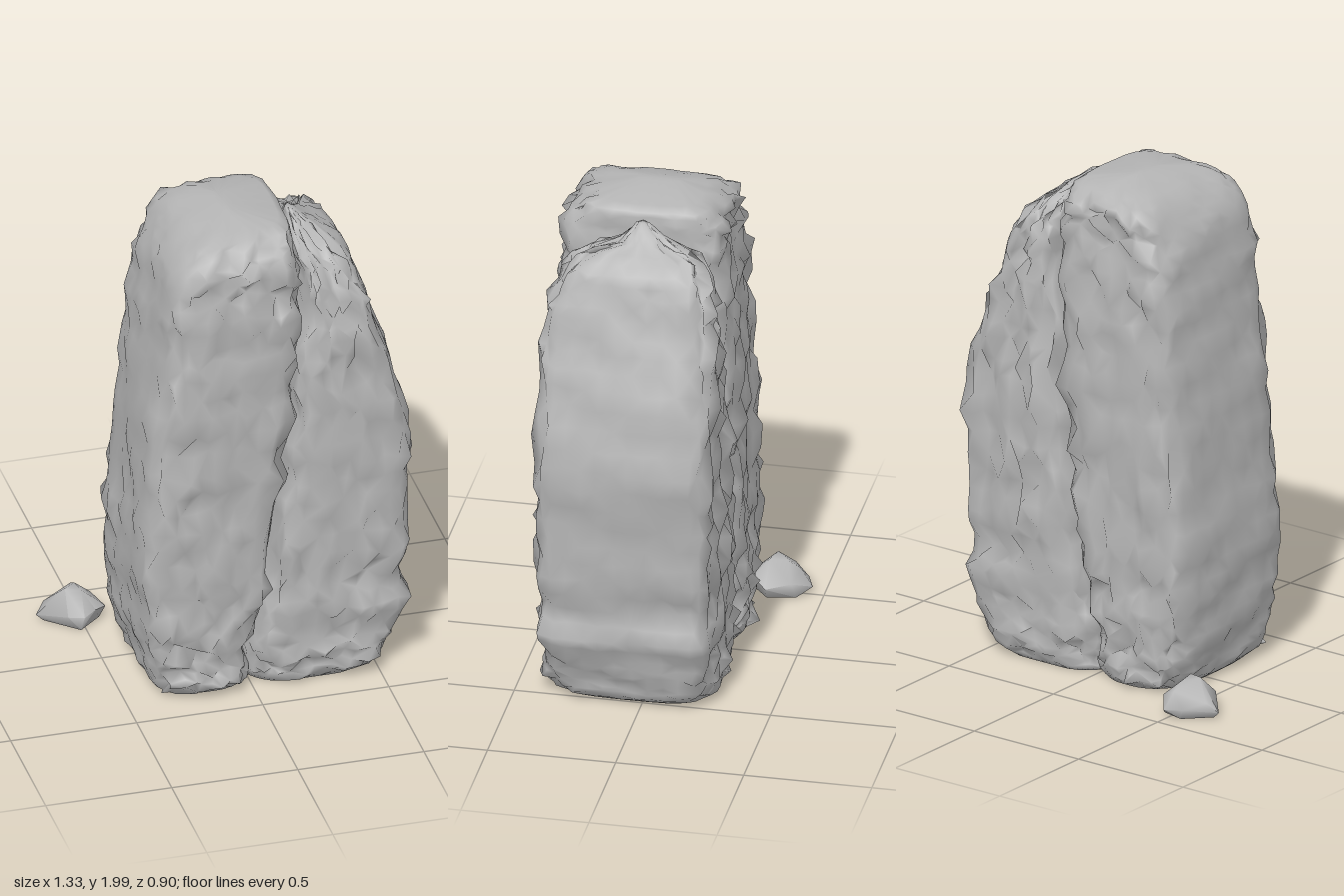
import * as THREE from 'three';
import { mergeVertices, toCreasedNormals } from 'three/addons/utils/BufferGeometryUtils.js';
import { ConvexGeometry } from 'three/addons/geometries/ConvexGeometry.js';

// Seeded random in -1..1
function seeded(seed) {
  let s = seed;
  return () => {
    s = (s * 1664525 + 1013904223) >>> 0;
    return s / 2147483648 - 1;
  };
}

// Interpolate rows of [y, xMin, xMax, zMin, zMax]
function sample(rows, y) {
  let i = 1;
  while (i < rows.length - 1 && rows[i][0] < y) i++;
  const a = rows[i - 1], b = rows[i];
  const t = THREE.MathUtils.clamp((y - a[0]) / (b[0] - a[0]), 0, 1);
  return a.map((v, k) => v + (b[k] - v) * t);
}

// Point and outward direction on a rounded rectangle, u in 0..4 from the +x side toward +z
function roundedRect(u, hx, hz, r) {
  const side = Math.floor(u) % 4, t = (u % 1) * 2 - 1;
  const [px, pz] = [[1, t], [-t, 1], [-1, -t], [t, -1]][side];
  const x = px * hx, z = pz * hz;
  const ix = THREE.MathUtils.clamp(x, -(hx - r), hx - r);
  const iz = THREE.MathUtils.clamp(z, -(hz - r), hz - r);
  const d = Math.hypot(x - ix, z - iz) || 1;
  const nx = (x - ix) / d, nz = (z - iz) / d;
  return { x: ix + nx * r, z: iz + nz * r, nx, nz };
}

// Rough upright slab: stacked cross-sections, craggy front and back, softer flanks
function slabGeometry(rows, seed) {
  const rand = seeded(seed), count = 44, levels = 38;
  const y0 = rows[0][0], y1 = rows[rows.length - 1][0];
  const pos = [], index = [];
  for (let j = 0; j <= levels; j++) {
    // Levels crowd toward the top and base, where the outline turns quickly
    const t = j / levels;
    const y = y0 + (y1 - y0) * (t - 0.1 * Math.sin(2 * Math.PI * t));
    const [, xa, xb, za, zb] = sample(rows, y);
    const hx = (xb - xa) / 2, hz = (zb - za) / 2;
    const corner = 0.075 + 0.08 * Math.max(0, 1 - y / 0.2);
    const r = Math.min(corner, hx * 0.8, hz * 0.8);
    const rough = j === 0 || j === levels ? 0 : Math.min(1, (levels - j) / 5, j / 2);
    for (let i = 0; i < count; i++) {
      const p = roundedRect((i / count) * 4, hx, hz, r);
      const crag = Math.abs(p.nz);
      const wave = Math.sin(y * 17 + p.x * 23 + seed) * Math.sin(p.x * 19 - y * 11 + p.z * 9);
      const bow = 0.018 * Math.abs(p.nx) * (p.z / hz) ** 2;
      const out = rough * (rand() ** 3 * (0.012 + 0.026 * crag) + wave * 0.012) - bow;
      const slide = rough * rand() * (0.008 + 0.012 * crag);
      pos.push(
        (xa + xb) / 2 + p.x + p.nx * out + p.nz * slide,
        y + rough * rand() * (0.008 + 0.012 * crag),
        (za + zb) / 2 + p.z + p.nz * out - p.nx * slide
      );
    }
  }
  for (let j = 0; j < levels; j++) {
    for (let i = 0; i < count; i++) {
      const a = j * count + i, b = j * count + ((i + 1) % count);
      const c = a + count, d = b + count;
      if ((i + j) % 2) index.push(a, c, b, b, c, d);
      else index.push(a, c, d, a, d, b);
    }
  }
  // Bottom and top caps
  for (const [row, ring] of [[rows[0], 0], [rows[rows.length - 1], levels]]) {
    const centre = pos.length / 3;
    pos.push((row[1] + row[2]) / 2, row[0], (row[3] + row[4]) / 2);
    for (let i = 0; i < count; i++) {
      const a = ring * count + i, b = ring * count + ((i + 1) % count);
      if (ring === 0) index.push(centre, a, b);
      else index.push(centre, b, a);
    }
  }
  const geo = new THREE.BufferGeometry();
  geo.setAttribute('position', new THREE.Float32BufferAttribute(pos, 3));
  geo.setIndex(index);
  geo.computeVertexNormals();
  return geo;
}

export function createModel() {
  const group = new THREE.Group();
  const stone = new THREE.MeshStandardMaterial({ color: 0xb4b4b4 });
  stone.name = 'grey stone';
  const add = (name, geometry) => {
    const mesh = new THREE.Mesh(geometry, stone);
    mesh.name = name;
    group.add(mesh);
  };

  // Taller slab on the -x side
  add('tallSlab', slabGeometry([
    [0.01, -0.35, 0.02, -0.25, 0.35],
    [0.04, -0.39, 0.02, -0.27, 0.38],
    [0.2, -0.425, 0.0, -0.275, 0.395],
    [0.4, -0.435, 0.06, -0.275, 0.4],
    [0.6, -0.445, 0.08, -0.275, 0.4],
    [0.8, -0.42, 0.11, -0.275, 0.4],
    [0.92, -0.415, 0.15, -0.275, 0.4],
    [1.0, -0.41, 0.13, -0.275, 0.4],
    [1.2, -0.395, 0.19, -0.27, 0.4],
    [1.32, -0.375, 0.15, -0.265, 0.4],
    [1.52, -0.355, 0.21, -0.26, 0.395],
    [1.75, -0.33, 0.21, -0.235, 0.385],
    [1.85, -0.29, 0.195, -0.235, 0.38],
    [1.92, -0.24, 0.19, -0.22, 0.35],
    [1.965, -0.17, 0.185, -0.18, 0.3],
    [1.985, -0.11, 0.15, -0.13, 0.24],
    [2.0, -0.06, 0.0, -0.04, 0.12],
  ], 7));

  // Shorter leaning slab on the +x side
  add('leaningSlab', slabGeometry([
    [0.01, -0.02, 0.49, -0.25, 0.35],
    [0.04, 0.0, 0.54, -0.27, 0.38],
    [0.2, 0.01, 0.585, -0.275, 0.395],
    [0.33, 0.04, 0.635, -0.275, 0.4],
    [0.42, 0.06, 0.585, -0.275, 0.395],
    [0.53, 0.075, 0.63, -0.275, 0.4],
    [0.8, 0.11, 0.625, -0.275, 0.4],
    [0.92, 0.145, 0.64, -0.275, 0.4],
    [1.03, 0.13, 0.655, -0.275, 0.4],
    [1.2, 0.18, 0.61, -0.27, 0.4],
    [1.32, 0.145, 0.585, -0.27, 0.4],
    [1.4, 0.165, 0.56, -0.265, 0.395],
    [1.6, 0.215, 0.485, -0.245, 0.39],
    [1.72, 0.22, 0.45, -0.225, 0.36],
    [1.8, 0.215, 0.415, -0.205, 0.32],
    [1.85, 0.21, 0.36, -0.16, 0.25],
    [1.88, 0.21, 0.32, -0.06, 0.14],
    [1.94, 0.21, 0.24, 0.03, 0.08],
  ], 31));

  // Loose pebble behind the -x corner
  const points = [
    [-0.64, 0.01, -0.33], [-0.55, 0.01, -0.42], [-0.46, 0.01, -0.4], [-0.43, 0.015, -0.29],
    [-0.52, 0.01, -0.22], [-0.668, 0.035, -0.335], [-0.63, 0.075, -0.365], [-0.565, 0.05, -0.43],
    [-0.495, 0.045, -0.458], [-0.44, 0.075, -0.385], [-0.405, 0.06, -0.29], [-0.46, 0.085, -0.23],
    [-0.51, 0.07, -0.205], [-0.57, 0.07, -0.225], [-0.56, 0.15, -0.31], [-0.5, 0.145, -0.29],
    [-0.51, 0.14, -0.36], [-0.51, 0.11, -0.41],
  ].map((p) => new THREE.Vector3(...p));
  const pebble = new ConvexGeometry(points);
  pebble.deleteAttribute('normal');
  add('pebble', toCreasedNormals(mergeVertices(pebble), 1.2));

  return group;
}
